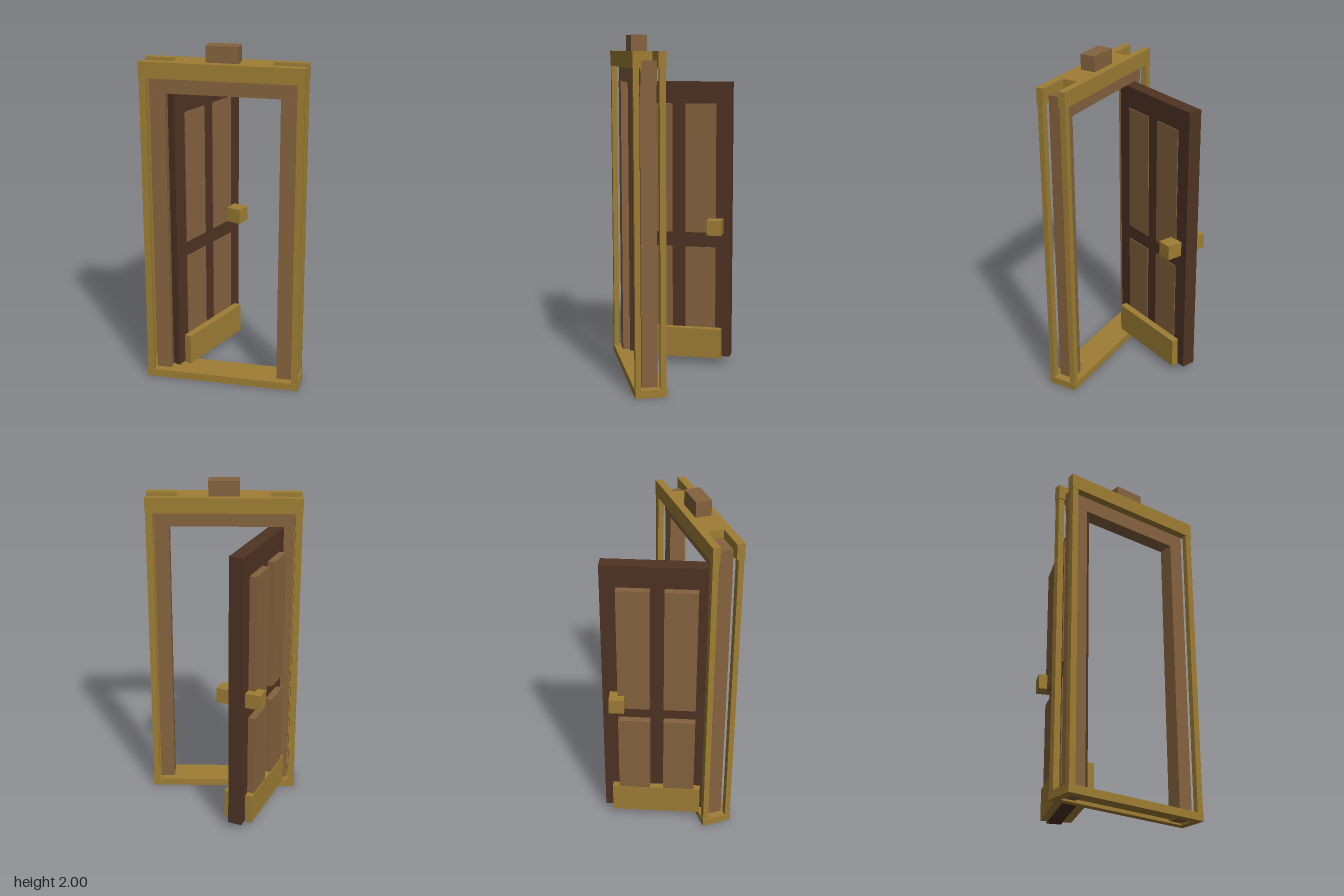
import * as THREE from 'three';

const mat = (name, color) => {
  const m = new THREE.MeshStandardMaterial({ color });
  m.name = name;
  return m;
};

export function createModel() {
  const gold = mat('ochre trim', 0x9e7e34);
  const wood = mat('mid brown wood', 0x85633e);
  const dark = mat('dark brown wood', 0x4e3323);

  // Box given by its min and max on each axis
  const box = (parent, name, material, [x0, x1], [y0, y1], [z0, z1]) => {
    const mesh = new THREE.Mesh(new THREE.BoxGeometry(x1 - x0, y1 - y0, z1 - z0), material);
    mesh.position.set((x0 + x1) / 2, (y0 + y1) / 2, (z0 + z1) / 2);
    mesh.name = name;
    parent.add(mesh);
  };

  const model = new THREE.Group();
  model.name = 'openDoor';

  // Outer trim: header and sill rails with slim corner posts, front and back
  const trim = new THREE.Group();
  trim.name = 'outerTrim';
  model.add(trim);
  for (const [side, rail, post] of [
    ['front', [0.302, 0.348], [0.314, 0.346]],
    ['back', [0.168, 0.21], [0.17, 0.204]],
  ]) {
    box(trim, side + 'HeaderRail', gold, [-0.455, 0.455], [1.82, 1.91], rail);
    box(trim, side + 'SillRail', gold, [-0.455, 0.455], [0, 0.045], rail);
    for (const s of [-1, 1]) {
      const x = s < 0 ? [-0.452, -0.413] : [0.413, 0.452];
      box(trim, side + 'Post', gold, x, [0.045, 1.82], post);
    }
  }
  box(trim, 'headerCentre', gold, [-0.27, 0.27], [1.86, 1.91], [0.21, 0.302]);
  box(trim, 'sillPlate', gold, [-0.32, 0.32], [0.02, 0.045], [0.21, 0.302]);

  // Inner wooden frame
  const frame = new THREE.Group();
  frame.name = 'innerFrame';
  model.add(frame);
  for (const s of [-1, 1]) {
    box(trim, 'sillEnd', gold, s < 0 ? [-0.455, -0.407] : [0.407, 0.455], [0, 0.045], [0.21, 0.302]);
    box(frame, 'jamb', wood, s < 0 ? [-0.407, -0.32] : [0.32, 0.407], [0.01, 1.73], [0.213, 0.304]);
  }
  box(frame, 'lintel', wood, [-0.41, 0.41], [1.73, 1.86], [0.211, 0.301]);
  box(model, 'topBlock', wood, [-0.09, 0.09], [1.91, 2], [0.21, 0.302]);

  // Door leaf, swung open to the back about its hinge
  const door = new THREE.Group();
  door.name = 'door';
  door.position.set(-0.318, 0, 0.251);
  door.rotation.y = THREE.MathUtils.degToRad(67.5);
  model.add(door);
  box(door, 'doorLeaf', dark, [0, 0.632], [0.046, 1.729], [-0.042, 0.042]);

  // Four panels running through the leaf, standing proud on the outer face
  for (const x of [[0.09, 0.275], [0.355, 0.541]]) {
    box(door, 'upperPanel', wood, x, [0.82, 1.6], [-0.084, 0.047]);
    box(door, 'lowerPanel', wood, x, [0.2, 0.73], [-0.084, 0.047]);
  }

  // Kick plates and square knobs on both faces
  for (const s of [-1, 1]) {
    const kick = s < 0 ? [-0.088, -0.046] : [0.047, 0.09];
    const knob = s < 0 ? [-0.134, -0.042] : [0.042, 0.137];
    box(door, 'kickPlate', gold, [0.051, 0.582], [0.046, 0.228], kick);
    box(door, 'knob', gold, [0.5, 0.588], [0.82, 0.91], knob);
  }
  return model;
}
